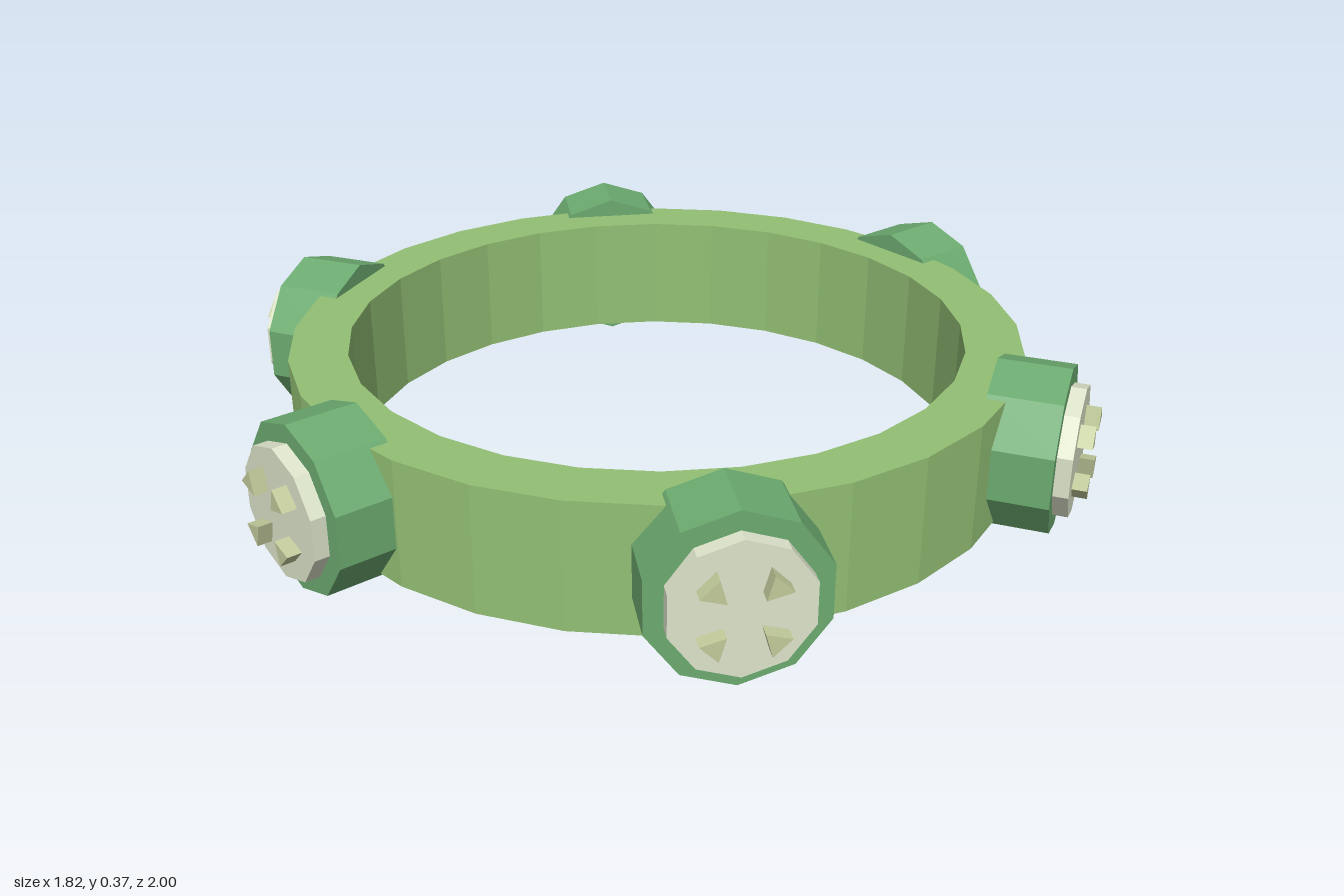
import * as THREE from 'three';

const MID_Y = 0.19; // height of the ring's centre line

const material = (color) => new THREE.MeshStandardMaterial({ color, flatShading: true });

function part(name, geometry, mat) {
  const mesh = new THREE.Mesh(geometry, mat);
  mesh.name = name;
  return mesh;
}

// Ten-sided prism along z, from z0 to z1
function prism(radius, z0, z1) {
  return new THREE.CylinderGeometry(radius, radius, z1 - z0, 10)
    .rotateX(Math.PI / 2)
    .translate(0, 0, (z0 + z1) / 2);
}

export function createModel() {
  const model = new THREE.Group();
  model.name = 'studdedRing';

  const ringMat = material(0x93c075);
  const housingMat = material(0x6cab70);
  const plateMat = material(0xdde4ca);
  const toothMat = material(0xc3cc9c);

  // Band with a rectangular section
  const section = [[0.83, -0.143], [0.83, 0.143], [0.7, 0.143], [0.7, -0.143], [0.83, -0.143]]
    .map(([r, y]) => new THREE.Vector2(r, y + MID_Y));
  model.add(part('band', new THREE.LatheGeometry(section, 28), ringMat));

  // Wedge tooth, its point towards the middle of the plate
  const wedge = new THREE.Shape([
    new THREE.Vector2(0.05, 0),
    new THREE.Vector2(0.096, -0.026),
    new THREE.Vector2(0.096, 0.026),
  ]);
  const toothGeo = new THREE.ExtrudeGeometry(wedge, { depth: 0.05, bevelEnabled: false })
    .translate(0, 0, 0.95);
  const housingGeo = prism(0.187, 0.777, 0.935);
  const plateGeo = prism(0.146, 0.92, 0.968);

  // Six studs around the band
  for (let i = 0; i < 6; i++) {
    const stud = new THREE.Group();
    stud.name = `stud${i + 1}`;
    stud.add(part('housing', housingGeo, housingMat), part('plate', plateGeo, plateMat));
    for (let k = 0; k < 4; k++) {
      const tooth = part('tooth', toothGeo, toothMat);
      tooth.rotation.z = Math.PI / 4 + k * Math.PI / 2;
      stud.add(tooth);
    }
    stud.position.y = MID_Y;
    stud.rotation.y = i * Math.PI / 3;
    model.add(stud);
  }
  return model;
}
